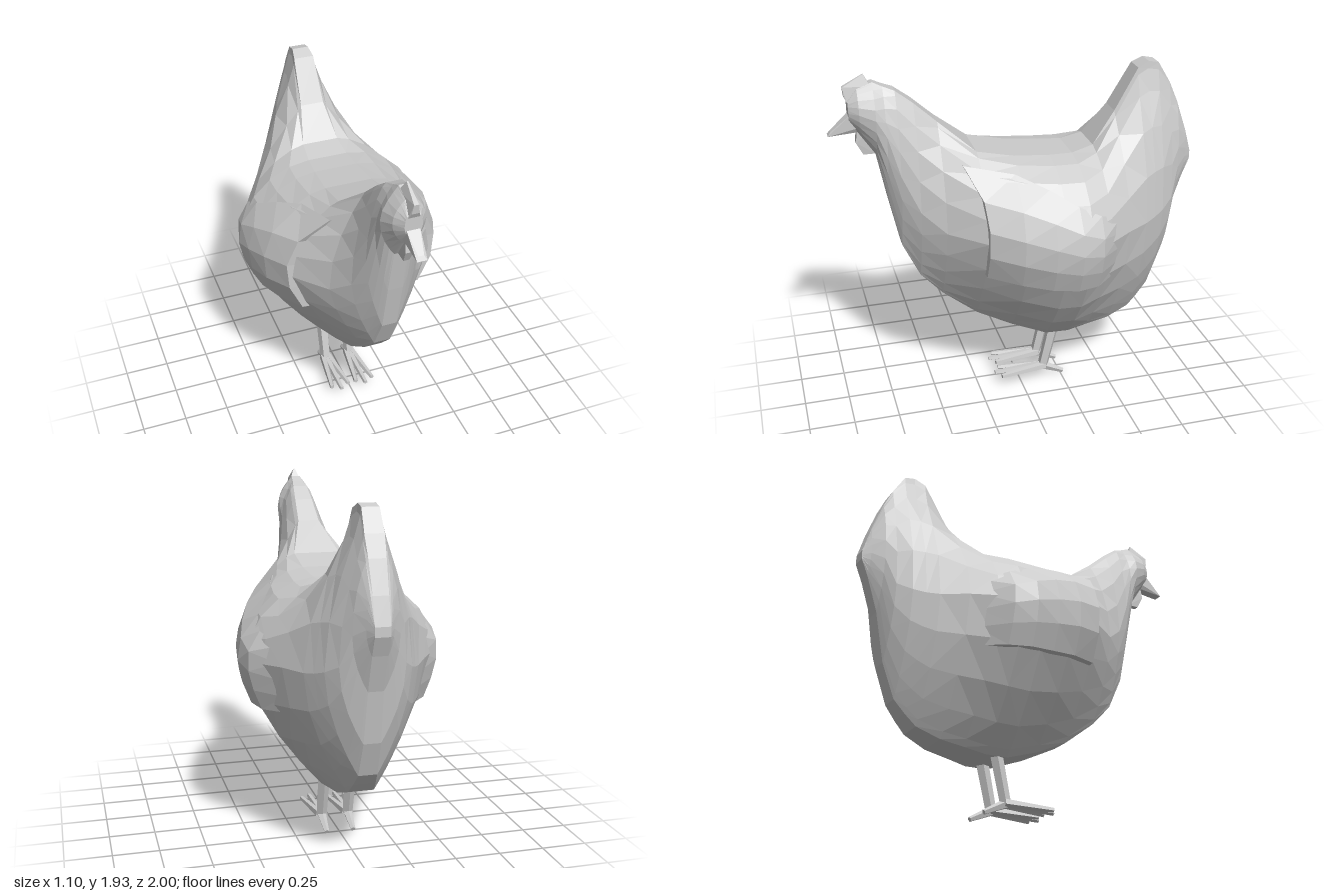
import * as THREE from 'three';
import { ConvexGeometry } from 'three/addons/geometries/ConvexGeometry.js';

const mat = new THREE.MeshStandardMaterial({ color: 0xcccccc, flatShading: true });

// Stations, front to back:
// z, top, bottom, height of widest point, half width, top half width, bottom half width, top taper, bottom roundness
const headAndNeck = [
  [0.89, 1.80, 1.69, 1.74, 0.045, 0.03, 0.025, 1, 2],
  [0.84, 1.86, 1.62, 1.74, 0.085, 0.025, 0.03, 2, 2],
  [0.76, 1.89, 1.50, 1.71, 0.113, 0.025, 0.035, 2.4, 2],
  [0.71, 1.865, 1.24, 1.62, 0.115, 0.03, 0.04, 2, 1.8],
  [0.65, 1.84, 0.96, 1.40, 0.135, 0.04, 0.04, 1.4, 1.6],
  [0.56, 1.77, 0.77, 1.20, 0.175, 0.05, 0.045, 1.6, 1.6],
];
const trunk = [
  [0.44, 1.66, 0.64, 1.10, 0.25, 0.06, 0.05, 2, 1.5],
  [0.25, 1.50, 0.49, 1.08, 0.39, 0.13, 0.06, 1.5, 1.35],
  [0.05, 1.455, 0.39, 1.04, 0.47, 0.13, 0.08, 1.15, 1.5],
  [-0.15, 1.435, 0.315, 1.02, 0.51, 0.12, 0.11, 1.1, 1.6],
  [-0.28, 1.43, 0.31, 1.02, 0.52, 0.11, 0.11, 1.1, 1.6],
  [-0.40, 1.46, 0.33, 1.04, 0.46, 0.10, 0.10, 1.4, 1.6],
];
const tail = [
  [-0.53, 1.63, 0.35, 1.05, 0.38, 0.065, 0.09, 2.4, 1.7],
  [-0.66, 1.855, 0.40, 1.05, 0.30, 0.055, 0.07, 3.3, 1.8],
  [-0.72, 1.885, 0.46, 1.06, 0.262, 0.045, 0.06, 3.3, 1.8],
  [-0.78, 1.872, 0.53, 1.08, 0.225, 0.045, 0.05, 3, 1.8],
  [-0.85, 1.755, 0.72, 1.12, 0.17, 0.05, 0.045, 2.4, 1.9],
  [-0.90, 1.645, 1.00, 1.28, 0.12, 0.045, 0.04, 1.6, 2],
  [-0.96, 1.48, 1.19, 1.32, 0.07, 0.04, 0.04, 1, 2],
  [-1.00, 1.34, 1.29, 1.315, 0.04, 0.04, 0.04, 1, 2],
];
const stations = [...headAndNeck, ...trunk, ...tail];

// Half width of a station at height y
function halfWidth([, top, bottom, mid, w, tw, bw, qt, qb], y) {
  if (y >= mid) {
    const t = Math.min(1, (y - mid) / (top - mid));
    return tw + (w - tw) * Math.pow(1 - t * t, qt / 2);
  }
  const t = Math.min(1, (mid - y) / (mid - bottom));
  return bw + (w - bw) * (1 - Math.pow(t, qb));
}

// Half width of the body anywhere along its length
function bodyX(z, y) {
  let i = 0;
  while (i < stations.length - 2 && stations[i + 1][0] > z) i++;
  const a = stations[i], b = stations[i + 1];
  const k = (a[0] - z) / (a[0] - b[0]);
  return halfWidth(a.map((v, n) => v + (b[n] - v) * k), y);
}

// Skin over rows of points, each quad split along its shorter diagonal; closed rows get end caps
function skin(rows, { closed = false, flip = false } = {}) {
  const n = rows[0].length, index = [], pts = rows.flat();
  const tri = (a, b, c) => (flip ? index.push(a, c, b) : index.push(a, b, c));
  const gap = (a, b) => Math.hypot(...pts[a].map((v, k) => v - pts[b][k]));
  for (let i = 0; i < rows.length - 1; i++) {
    for (let j = 0; j < (closed ? n : n - 1); j++) {
      const a = i * n + j, b = i * n + (j + 1) % n, c = b + n, d = a + n;
      if (gap(b, d) < gap(a, c)) {
        tri(a, b, d);
        tri(b, c, d);
      } else {
        tri(a, b, c);
        tri(a, c, d);
      }
    }
  }
  if (closed) {
    const last = (rows.length - 1) * n;
    for (let j = 1; j < n - 1; j++) {
      tri(0, j + 1, j);
      tri(last, last + j, last + j + 1);
    }
  }
  const g = new THREE.BufferGeometry();
  g.setAttribute('position', new THREE.Float32BufferAttribute(pts.flat(), 3));
  g.setIndex(index);
  const flat = g.toNonIndexed();
  flat.computeVertexNormals();
  return flat;
}

function part(name, geometry, parent) {
  const m = new THREE.Mesh(geometry, mat);
  m.name = name;
  parent.add(m);
}

function bodyGeometry() {
  const steps = 5;
  const rows = stations.map((s) => {
    const [z, top, bottom, mid] = s;
    const side = [];
    for (let j = -steps; j <= steps; j++) {
      const h = Math.sin((-j / steps) * Math.PI / 2);
      const y = mid + h * (h > 0 ? top - mid : mid - bottom);
      side.push([halfWidth(s, y), y, z]);
    }
    return side.concat(side.slice().reverse().map(([x, y, zz]) => [-x, y, zz]));
  });
  return skin(rows, { closed: true });
}

// Folded wing: a raised shell that blends into the back, its other rims sunk into the body
function wingGeometry(side) {
  // z, upper edge, lower edge, thickness
  const cols = [
    [0.255, 1.46, 0.86, -0.03], [0.25, 1.46, 0.86, 0.035], [0.08, 1.41, 0.83, 0.04],
    [-0.08, 1.34, 0.80, 0.04], [-0.22, 1.26, 0.785, 0.035], [-0.34, 1.2, 0.78, 0.03],
    [-0.48, 1.15, 0.79, -0.02],
  ];
  const levels = [0, 0.25, 0.5, 0.75, 1, 1];
  const rows = cols.map(([z, hi, lo, off], c) => levels.map((v, r) => {
    const y = hi + (lo - hi) * v;
    const lean = c < 2 ? Math.max(0, y - 1.28) * 0.5 : 0;
    const rise = r === 0 ? Math.min(off, 0.005) : r === levels.length - 1 ? -0.04 : off;
    return [side * (bodyX(z + lean, y) + rise), y, z + lean];
  }));
  return skin(rows, { flip: side < 0 });
}

// Symmetrical convex solid from points [halfWidth, y, z]
function wedge(points) {
  return new ConvexGeometry(points.flatMap(([x, y, z]) => [new THREE.Vector3(x, y, z), new THREE.Vector3(-x, y, z)]));
}

// Tapered rod between two points
function rod(from, to, r0, r1) {
  const a = new THREE.Vector3(...from), b = new THREE.Vector3(...to);
  const dir = b.clone().sub(a);
  const g = new THREE.CylinderGeometry(r1, r0, dir.length(), 5);
  g.applyQuaternion(new THREE.Quaternion().setFromUnitVectors(new THREE.Vector3(0, 1, 0), dir.normalize()));
  const c = a.add(b).multiplyScalar(0.5);
  return g.translate(c.x, c.y, c.z);
}

export function createModel() {
  const hen = new THREE.Group();
  hen.name = 'hen';

  part('body', bodyGeometry(), hen);

  // Head details
  part('beak', wedge([[0.035, 1.73, 0.88], [0.04, 1.66, 0.83], [0.025, 1.63, 0.85], [0.026, 1.62, 1.0], [0.015, 1.64, 0.985]]), hen);
  part('comb', wedge([[0.03, 1.79, 0.89], [0.02, 1.82, 0.905], [0.012, 1.87, 0.91], [0.004, 1.93, 0.8], [0.03, 1.87, 0.77]]), hen);
  part('wattle', wedge([[0.02, 1.65, 0.83], [0.02, 1.64, 0.85], [0.022, 1.57, 0.86], [0.015, 1.5, 0.825], [0.015, 1.5, 0.76], [0.02, 1.62, 0.78]]), hen);

  for (const side of [1, -1]) {
    const label = side > 0 ? 'left' : 'right';
    part(label + 'Wing', wingGeometry(side), hen);

    // Leg with three front toes and a hind toe
    const leg = new THREE.Group();
    leg.name = label + 'Leg';
    hen.add(leg);
    const x = side * 0.076;
    part('shank', rod([x, 0.36, -0.205], [x, 0.07, -0.14], 0.036, 0.031), leg);
    for (const spread of [-1, 0, 1]) {
      const reach = spread === 0 ? 0.15 : 0.12;
      part('toe', rod([x + spread * 0.012, 0.077, -0.15], [x + spread * 0.052, 0.07, reach], 0.024, 0.013), leg);
    }
    part('hindToe', rod([x, 0.075, -0.14], [x, 0.013, -0.265], 0.026, 0.014), leg);
  }
  return hen;
}
